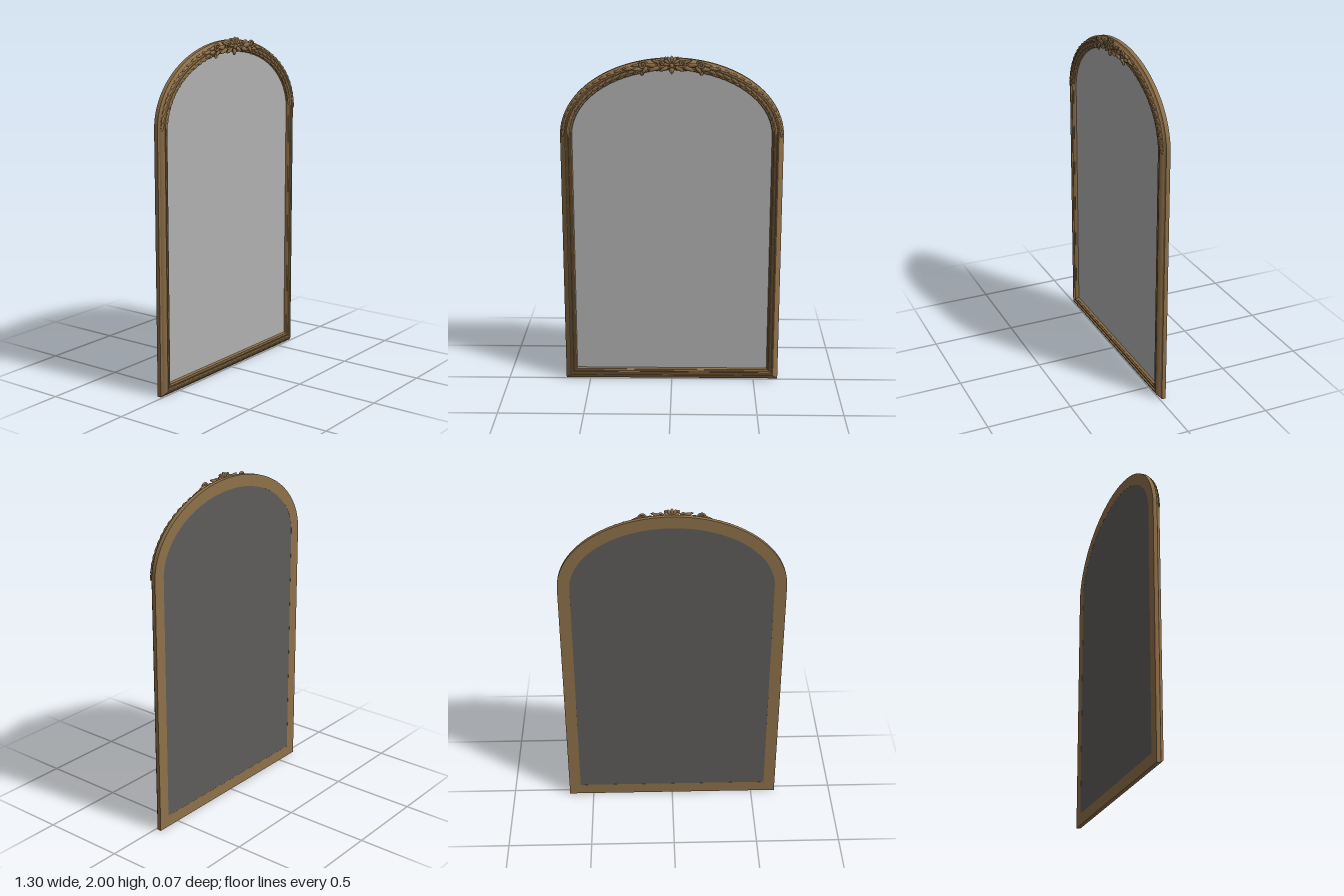
import * as THREE from 'three';
import { toCreasedNormals } from 'three/addons/utils/BufferGeometryUtils.js';

const HALF_W = 0.65, SPRING = 1.53, RISE = 0.45, ARCH_STEPS = 56;

// Point on the arch, inset by d from the outer edge (t = 0 at +x, PI at -x)
const archPoint = (t, d) =>
  new THREE.Vector2((HALF_W - d) * Math.cos(t), SPRING + (RISE - d) * Math.sin(t));

// Closed outline of the frame, inset by d, counter-clockwise from the front
function outline(d) {
  const pts = [new THREE.Vector2(-HALF_W + d, d), new THREE.Vector2(HALF_W - d, d)];
  for (let i = 0; i <= ARCH_STEPS; i++) pts.push(archPoint((Math.PI * i) / ARCH_STEPS, d));
  return pts;
}

// Sweep a closed moulding profile of [inset, z] pairs round the outline
function moulding(profile) {
  const rings = profile.map(([d, z]) => outline(d).map((p) => [p.x, p.y, z]));
  const n = rings[0].length, m = rings.length, pos = [], index = [];
  rings.forEach((r) => r.forEach((p) => pos.push(...p)));
  for (let j = 0; j < m; j++) {
    for (let i = 0; i < n; i++) {
      const k = (i + 1) % n, l = (j + 1) % m;
      const a = j * n + i, b = j * n + k, c = l * n + k, e = l * n + i;
      index.push(a, b, c, a, c, e);
    }
  }
  const g = new THREE.BufferGeometry();
  g.setAttribute('position', new THREE.Float32BufferAttribute(pos, 3));
  g.setIndex(index);
  return toCreasedNormals(g, 0.45);
}

export function createModel() {
  const model = new THREE.Group();
  const wood = new THREE.MeshStandardMaterial({ color: 0x8e7049 });
  wood.name = 'antique gold';
  const silver = new THREE.MeshStandardMaterial({ color: 0xb0b0b0 });
  silver.name = 'mirror silver';
  const backing = new THREE.MeshStandardMaterial({ color: 0x5d5c5a });
  backing.name = 'dark backing';

  const add = (parent, name, geo, mat) => {
    const mesh = new THREE.Mesh(geo, mat);
    mesh.name = name;
    parent.add(mesh);
    return mesh;
  };

  // Stepped moulding frame
  add(model, 'frame', moulding([
    [0, -0.036], [0, -0.012], [0.009, -0.006], [0.012, 0], [0.024, 0.011], [0.031, 0.015],
    [0.037, 0.014], [0.04, 0.006], [0.045, 0.005], [0.05, 0.011], [0.056, 0.011],
    [0.061, 0.004], [0.064, 0.004], [0.07, -0.012], [0.07, -0.036],
  ]), wood);

  // Mirror glass and back panel
  const pane = new THREE.ShapeGeometry(new THREE.Shape(outline(0.069)));
  add(model, 'mirrorGlass', pane, silver).position.z = -0.01;
  const back = add(model, 'backPanel', pane.clone().rotateY(Math.PI), backing);
  back.position.z = -0.0355;

  // Almond-shaped carved leaf, long axis along x, pointed at its tip
  const leafGeo = new THREE.SphereGeometry(1, 12, 8);
  const lp = leafGeo.attributes.position;
  for (let i = 0; i < lp.count; i++) {
    const x = lp.getX(i);
    lp.setY(i, lp.getY(i) * (1 - 0.45 * x));
  }
  leafGeo.computeVertexNormals();
  const leaf = (parent, name, x, y, z, angle, len, wid, thick) => {
    const mesh = add(parent, name, leafGeo, wood);
    mesh.position.set(x, y, z);
    mesh.rotation.z = angle;
    mesh.scale.set(len, wid, thick);
  };

  // Carved foliage following the arch on both sides
  const foliage = new THREE.Group();
  foliage.name = 'archFoliage';
  model.add(foliage);
  for (const s of [1, -1]) {
    for (let i = 0; i < 15; i++) {
      const t = 0.06 + i * 0.085;
      [[0.02, 0.006, 0.14], [0.045, 0.008, -0.16], [0.06, 0.003, 0.1]].forEach(([d, z, tilt], row) => {
        const tt = t + row * 0.028;
        const p = archPoint(tt, d), q = archPoint(tt + 0.01, d);
        const angle = Math.atan2(q.y - p.y, s * (q.x - p.x)) + s * tilt;
        leaf(foliage, 'archLeaf', s * p.x, p.y, z, angle, 0.033, 0.0085, 0.007);
      });
    }
  }

  // Crest: central palmette with side scrolls and trailing leaves
  const crest = new THREE.Group();
  crest.name = 'crest';
  model.add(crest);
  for (let i = -3; i <= 3; i++) {
    const a = Math.PI / 2 + i * 0.5, r = 0.027;
    leaf(crest, 'palmettePetal', r * Math.cos(a), 1.947 + r * Math.sin(a), 0.024, a + Math.PI, 0.025, 0.0085, 0.01);
  }
  const bead = (name, x, y, z, r) => {
    const mesh = add(crest, name, new THREE.SphereGeometry(r, 14, 10), wood);
    mesh.position.set(x, y, z);
    mesh.scale.z = 0.7;
  };
  bead('palmetteHeart', 0, 1.943, 0.026, 0.014);
  leaf(crest, 'palmetteBase', 0, 1.912, 0.022, -Math.PI / 2, 0.02, 0.014, 0.01);

  // Spiral scroll tube, s mirrors it
  const scroll = (s, cx, cy, r0, turns, start) => {
    const pts = [];
    for (let i = 0; i <= 16; i++) {
      const u = i / 16, a = start + u * turns * Math.PI * 2, r = r0 * (1 - 0.75 * u);
      pts.push(new THREE.Vector3(s * (cx + r * Math.cos(a)), cy + r * Math.sin(a), 0.021 + 0.006 * u));
    }
    add(crest, 'scroll', new THREE.TubeGeometry(new THREE.CatmullRomCurve3(pts), 40, 0.0065, 7), wood);
    bead('scrollEye', s * cx, cy, 0.026, 0.007);
  };
  // [x, y, angle, length, width] of the leaves on the +x side
  const leaves = [
    [0.045, 1.922, -0.5, 0.028, 0.011], [0.09, 1.965, 0.3, 0.03, 0.01],
    [0.1, 1.922, -0.35, 0.035, 0.012], [0.125, 1.945, 0.1, 0.035, 0.013],
    [0.155, 1.915, -0.9, 0.026, 0.011], [0.195, 1.942, -0.25, 0.034, 0.01],
    [0.2, 1.918, -0.1, 0.03, 0.009], [0.245, 1.922, -0.25, 0.036, 0.009],
  ];
  for (const s of [1, -1]) {
    scroll(s, 0.06, 1.955, 0.025, 1.4, Math.PI * 0.9);
    scroll(s, 0.165, 1.945, 0.024, -1.4, Math.PI);
    for (const [x, y, a, len, wid] of leaves) {
      leaf(crest, 'crestLeaf', s * x, y, x > 0.19 ? 0.015 : 0.021, s > 0 ? a : Math.PI - a, len, wid, 0.009);
    }
    bead('pendantDrop', s * 0.17, 1.896, 0.018, 0.011);
    bead('berry', s * 0.035, 1.985, 0.02, 0.008);
  }
  return model;
}
